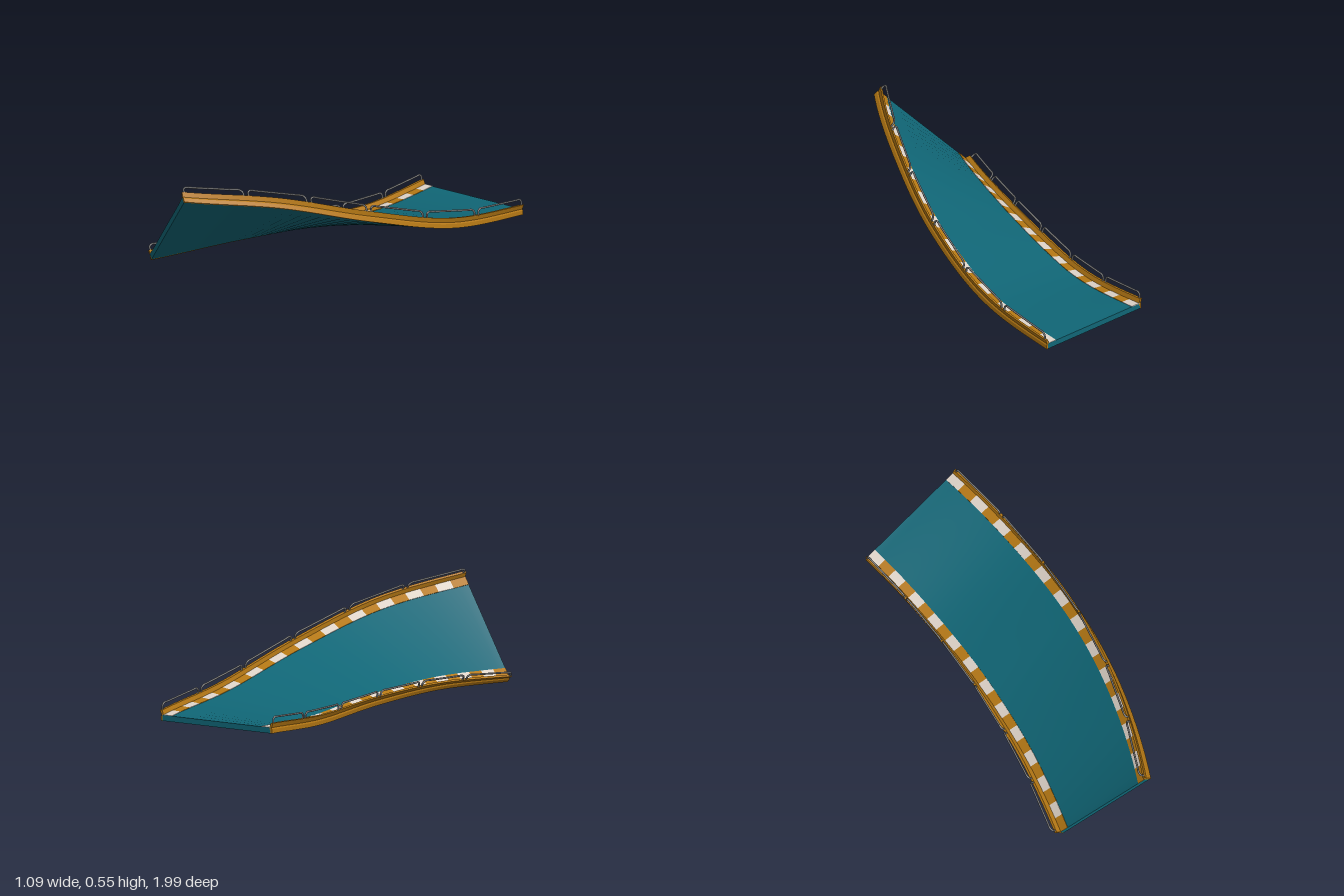
import * as THREE from 'three';

const RADIUS = 3.75, TURN = Math.PI / 6, WIDTH = 0.65, DECK = 0.03;

// Heights of the two lower deck edges along the track: (t, inner y, outer y)
const heights = new THREE.CatmullRomCurve3([
  [0, 0.035, 0.035], [0.25, 0.004, 0.092], [0.5, 0.033, 0.237], [0.75, 0.05, 0.395], [1, 0.035, 0.49],
].map((p) => new THREE.Vector3(...p)), false, 'catmullrom', 0.5);

// Point on the banked curve: t along, u across, v away from the deck's underside
function trackPoint(t, u, v) {
  const a = TURN * t;
  const h = heights.getPoint(t);
  const bank = Math.asin((h.z - h.y) / WIDTH);
  const across = u * Math.cos(bank) - v * Math.sin(bank);
  return new THREE.Vector3(
    0.205 - RADIUS * (1 - Math.cos(a)) + Math.cos(a) * across,
    (h.y + h.z) / 2 + u * Math.sin(bank) + v * Math.cos(bank),
    -1 + RADIUS * Math.sin(a) + Math.sin(a) * across,
  );
}

// Sweeps a closed counter-clockwise (u, v) profile along the track, with end caps
function sweep(profile, t0, t1, steps) {
  const pos = [], index = [];
  const add = (t, p) => pos.push(...trackPoint(t, p[0], p[1]).toArray());
  profile.forEach((p, i) => {
    const q = profile[(i + 1) % profile.length];
    const base = pos.length / 3;
    for (let s = 0; s <= steps; s++) {
      const t = t0 + (t1 - t0) * s / steps;
      add(t, p);
      add(t, q);
      if (s < steps) {
        const k = base + 2 * s;
        index.push(k, k + 1, k + 3, k, k + 3, k + 2);
      }
    }
  });
  const faces = THREE.ShapeUtils.triangulateShape(profile.map((p) => new THREE.Vector2(...p)), []);
  for (const [t, flip] of [[t0, true], [t1, false]]) {
    const base = pos.length / 3;
    profile.forEach((p) => add(t, p));
    for (const [a, b, c] of faces) index.push(base + a, base + (flip ? c : b), base + (flip ? b : c));
  }
  const geo = new THREE.BufferGeometry();
  geo.setAttribute('position', new THREE.Float32BufferAttribute(pos, 3));
  geo.setIndex(index);
  geo.computeVertexNormals();
  return geo;
}

const rect = (u0, u1, v0, v1) => [[u0, v0], [u1, v0], [u1, v1], [u0, v1]];
const onSide = (profile, side) => side > 0 ? profile : profile.map(([u, v]) => [-u, v]).reverse();

export function createModel() {
  const model = new THREE.Group();
  const paint = (color) => new THREE.MeshStandardMaterial({ color });
  const teal = paint(0x106676), orange = paint(0xb57814), cream = paint(0xded3c8), steel = paint(0x808080);
  const add = (parent, name, geo, mat) => {
    const mesh = new THREE.Mesh(geo, mat);
    mesh.name = name;
    parent.add(mesh);
  };

  // Banked road deck
  add(model, 'deck', sweep(rect(-0.32, 0.32, 0, DECK), 0, 1, 40), teal);

  // Flared edge beam section
  const beam = [[0.319, 0], [0.329, 0], [0.329, 0.022], [0.325, 0.03], [0.335, 0.055], [0.322, 0.055], [0.313, 0.03]];

  for (const side of [-1, 1]) {
    const edge = new THREE.Group();
    edge.name = side > 0 ? 'leftEdge' : 'rightEdge';
    model.add(edge);
    add(edge, 'edgeBeam', sweep(onSide(beam, side), 0, 1, 40), orange);

    // Striped kerb
    const bands = 24;
    for (let i = 0; i < bands; i++) {
      const strip = onSide(rect(0.264, 0.316, DECK - 0.002, DECK + 0.002), side);
      add(edge, 'kerbBand', sweep(strip, i / bands, (i + 1) / bands, 2), i % 2 ? orange : cream);
    }

    // Six straight handrail hoops with bent ends
    for (let i = 0; i < 6; i++) {
      const t0 = i / 6 + 0.007, t1 = (i + 1) / 6 - 0.007, u = side * 0.329;
      const a = trackPoint(t0 + 0.007, u, 0.086), b = trackPoint(t1 - 0.007, u, 0.086);
      const path = new THREE.CatmullRomCurve3([
        trackPoint(t0, u, 0.05), trackPoint(t0, u, 0.074), a,
        a.clone().lerp(b, 0.1), a.clone().lerp(b, 0.5), a.clone().lerp(b, 0.9),
        b, trackPoint(t1, u, 0.074), trackPoint(t1, u, 0.05),
      ]);
      add(edge, 'handrail', new THREE.TubeGeometry(path, 48, 0.005, 8), steel);
    }
  }
  return model;
}
